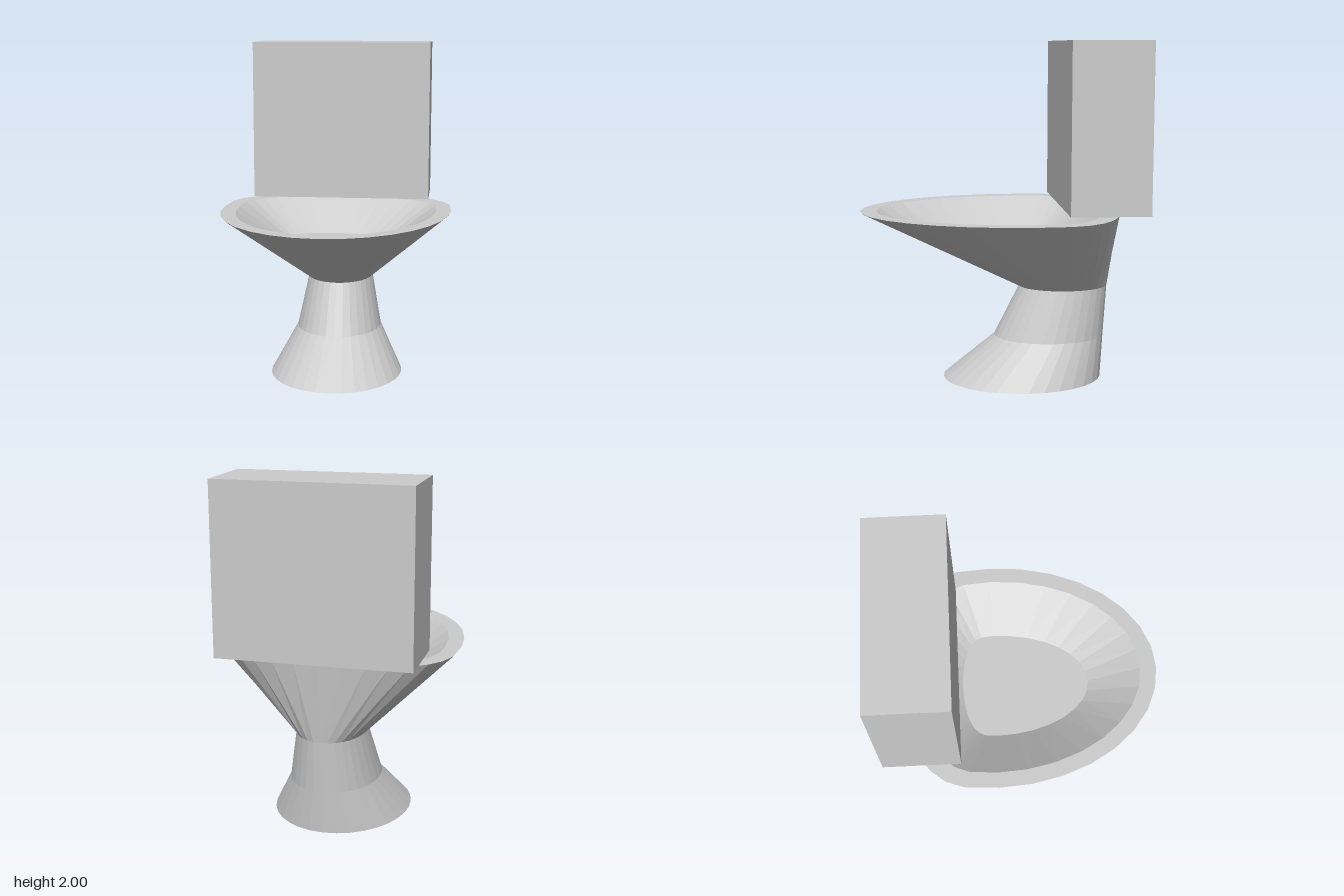
import * as THREE from 'three';

const SIDES = 32;

// Egg-shaped ring: half width w, widest at z = mid, reaching front and back.
// A power below 1 squares off the back half.
function ring(y, w, front, back, mid = (front + back) / 2, power = 1) {
  return Array.from({ length: SIDES }, (_, i) => {
    const a = (i / SIDES) * Math.PI * 2;
    const c = Math.cos(a);
    const z = c >= 0 ? mid + c * (front - mid) : mid - Math.pow(-c, power) * (mid - back);
    return [w * Math.sin(a), y, z];
  });
}

// Skin a list of rings; optional flat caps close the first (facing down) and last (facing up).
function loft(rings, capStart, capEnd) {
  const pos = [];
  const tri = (a, b, c) => pos.push(...a, ...b, ...c);
  for (let r = 0; r < rings.length - 1; r++) {
    for (let i = 0; i < SIDES; i++) {
      const j = (i + 1) % SIDES;
      const [lo, hi] = [rings[r], rings[r + 1]];
      tri(lo[i], lo[j], hi[j]);
      tri(lo[i], hi[j], hi[i]);
    }
  }
  const first = rings[0], last = rings[rings.length - 1];
  for (let i = 1; i < SIDES - 1; i++) {
    if (capStart) tri(first[0], first[i + 1], first[i]);
    if (capEnd) tri(last[0], last[i], last[i + 1]);
  }
  const geo = new THREE.BufferGeometry();
  geo.setAttribute('position', new THREE.Float32BufferAttribute(pos, 3));
  geo.computeVertexNormals();
  return geo;
}

export function createModel() {
  const group = new THREE.Group();
  const material = new THREE.MeshStandardMaterial({ color: 0xcccccc, flatShading: true });
  const add = (name, geometry) => {
    const mesh = new THREE.Mesh(geometry, material);
    mesh.name = name;
    group.add(mesh);
    return mesh;
  };

  // Flared foot rising into a narrow neck
  const neckTop = ring(0.55, 0.2, -0.13, -0.657);
  add('pedestal', loft([
    ring(0, 0.4, 0.325, -0.62),
    ring(0.25, 0.26, 0.02, -0.637),
    neckTop,
  ], true, false));

  // Bowl: outer wall, flat rim, sloping basin wall and basin floor
  add('bowl', loft([
    neckTop,
    ring(1.01, 0.69, 0.81, -0.712, -0.15, 0.62),
    ring(1.01, 0.6, 0.715, -0.61, -0.15, 0.62),
    ring(0.818, 0.322, 0.415, -0.345, -0.15, 0.62),
  ], false, true));

  // Water tank hovering just above the back of the rim
  add('tank', new THREE.BoxGeometry(1.09, 0.96, 0.45)).position.set(0, 1.52, -0.587);

  return group;
}
